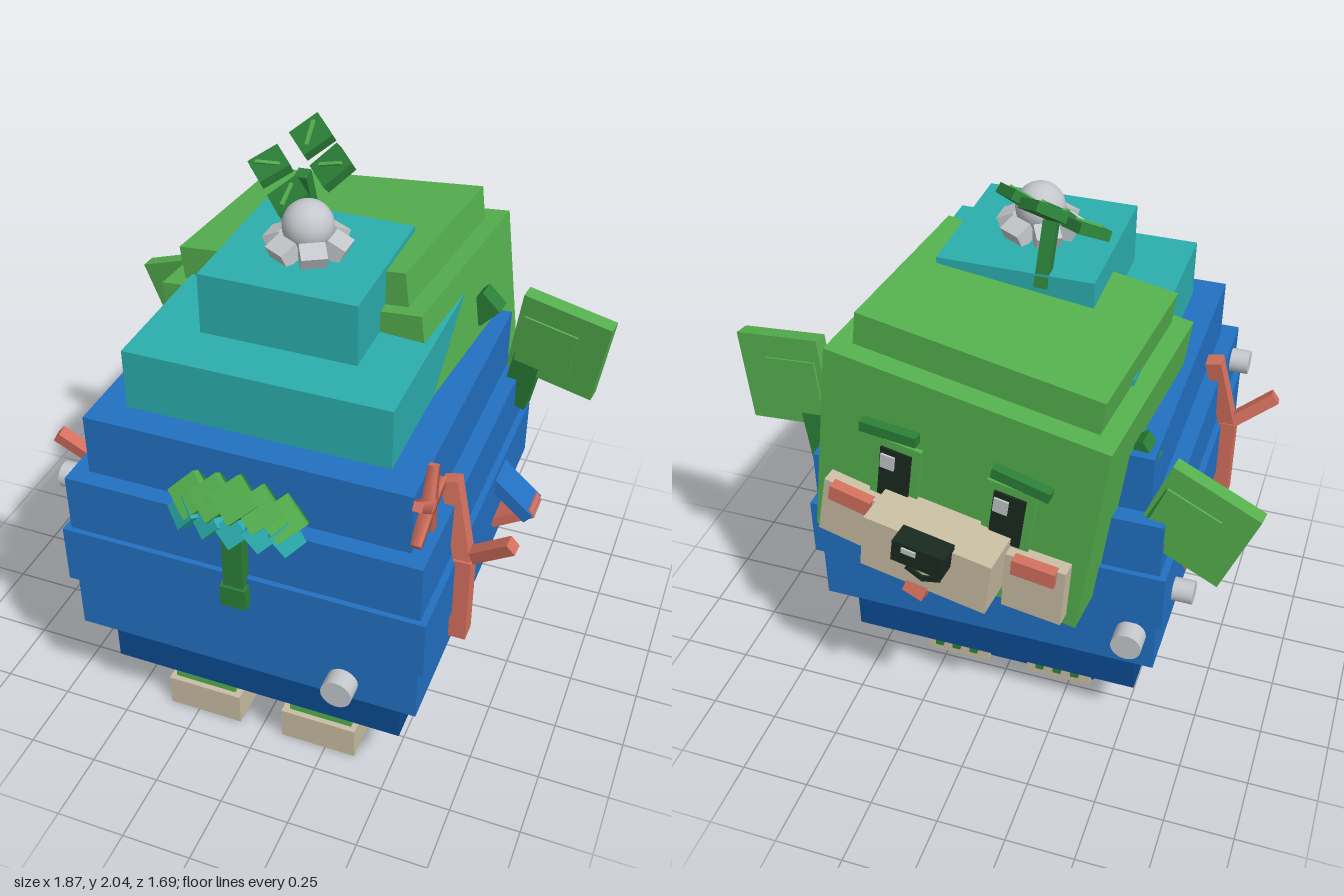
import * as THREE from 'three';

const mat = (name, color) => {
  const m = new THREE.MeshStandardMaterial({ color });
  m.name = name;
  return m;
};

export function createModel() {
  const blue = mat('blue', 0x2270c2), navy = mat('navy', 0x0b4a90), purple = mat('purple', 0x8a45cc);
  const teal = mat('teal', 0x2caeae), green = mat('green', 0x55b04e), leaf = mat('leaf green', 0x2b8038);
  const coral = mat('coral', 0xd4705e), tan = mat('tan', 0xc9bea3), grey = mat('grey', 0xc4c8cc);
  const black = mat('near black', 0x1a2a20);
  const root = new THREE.Group();
  root.name = 'shelledCreature';

  const add = (parent, name, geo, m, pos, rot = [0, 0, 0]) => {
    const mesh = new THREE.Mesh(geo, m);
    mesh.name = name;
    mesh.position.set(...pos);
    mesh.rotation.set(...rot);
    parent.add(mesh);
    return mesh;
  };
  const box = (parent, name, m, size, pos, rot) => add(parent, name, new THREE.BoxGeometry(...size), m, pos, rot);
  // Square bar running between two points
  const bar = (parent, name, m, a, b, w) => {
    const p = new THREE.Vector3(...a), q = new THREE.Vector3(...b), d = q.clone().sub(p);
    const mesh = box(parent, name, m, [w, d.length(), w], p.clone().add(q).multiplyScalar(0.5).toArray());
    mesh.quaternion.setFromUnitVectors(new THREE.Vector3(0, 1, 0), d.normalize());
  };
  const group = (parent, name, pos, rot = [0, 0, 0]) => {
    const g = new THREE.Group();
    g.name = name;
    g.position.set(...pos);
    g.rotation.set(...rot);
    parent.add(g);
    return g;
  };

  // Stacked shell: name, material, half width, half depth, bottom, top
  const layers = [
    ['underbody', navy, 0.34, 0.35, 0, 0.23],
    ['hips', navy, 0.537, 0.537, 0.22, 0.385],
    ['belt', purple, 0.567, 0.567, 0.385, 0.435],
    ['shellLower', blue, 0.615, 0.618, 0.435, 0.65],
    ['shellWide', blue, 0.638, 0.637, 0.65, 0.87],
    ['shellUpper', blue, 0.615, 0.618, 0.87, 1.08],
    ['shellShoulder', blue, 0.557, 0.557, 1.08, 1.3],
    ['shellCap', teal, 0.453, 0.453, 1.3, 1.515],
    ['shellTop', teal, 0.268, 0.272, 1.515, 1.73],
  ];
  for (const [name, m, hw, hd, y0, y1] of layers)
    box(root, name, m, [hw * 2, y1 - y0, hd * 2], [0, (y0 + y1) / 2, name === 'shellTop' ? 0.142 : 0.15]);

  // Legs, feet and toes
  for (const s of [-1, 1]) {
    box(root, 'frontLeg', green, [0.235, 0.12, 0.2], [s * 0.225, 0.165, 0.53]);
    box(root, 'frontFoot', tan, [0.28, 0.125, 0.33], [s * 0.222, 0.0625, 0.485]);
    box(root, 'backFoot', tan, [0.25, 0.127, 0.28], [s * 0.205, 0.0615, -0.09]);
    for (const i of [-1, 0, 1])
      box(root, 'toe', leaf, [0.03, 0.07, 0.03], [s * 0.205 + i * 0.07, 0.08, -0.237]);
    for (const z of [0.383, 0.15, -0.08])
      box(root, 'sidePlate', grey, [0.07, 0.112, 0.175], [s * 0.37, 0.145, z]);
  }
  box(root, 'frontPlate', grey, [0.175, 0.112, 0.07], [0, 0.145, 0.52]);
  for (const x of [-0.233, 0, 0.233]) box(root, 'backPlate', grey, [0.175, 0.112, 0.07], [x, 0.145, -0.22]);

  // Barnacle studs
  const stud = (pos, rot, r = 0.054) =>
    add(root, 'stud', new THREE.CylinderGeometry(r, r, 0.1, 20), grey, pos, rot);
  stud([0.36, 0.505, 0.785], [Math.PI / 2, 0, 0]);
  stud([-0.53, 0.58, -0.49], [Math.PI / 2, 0, 0]);
  stud([-0.635, 1.0, 0.66], [0, 0, Math.PI / 2], 0.045);
  stud([-0.66, 0.68, -0.31], [0, 0, Math.PI / 2], 0.042);

  // Branches and beaked shells on both sides
  for (const s of [-1, 1]) {
    const branch = group(root, 'coralBranch', [0, 0, 0]);
    box(branch, 'branchTrunk', coral, [0.06, 0.34, 0.07], [s * 0.66, 0.71, 0.44]);
    bar(branch, 'branchInner', coral, [s * 0.66, 0.86, 0.44], [s * 0.59, 1.16, 0.405], 0.058);
    bar(branch, 'branchOuter', coral, [s * 0.65, 0.865, 0.43], [s * 0.82, 1.0, 0.47], 0.045);
    const clam = group(root, 'clam', [0, 0, 0]);
    box(clam, 'clamTop', blue, [0.19, 0.045, 0.13], [s * 0.695, 0.763, -0.085], [0, 0, -s * 0.72]);
    box(clam, 'clamBottom', coral, [0.17, 0.035, 0.11], [s * 0.705, 0.678, -0.085], [0, 0, s * 0.55]);
  }

  // Starfish
  const star = group(root, 'starfish', [0.575, 1.2, 0.61]);
  const armGeo = new THREE.CylinderGeometry(0.022, 0.032, 0.13, 4, 1).rotateY(Math.PI / 4).translate(0, 0.07, 0);
  for (let i = 0; i < 5; i++)
    add(star, 'starArm', armGeo, coral, [0, 0, 0], [-Math.PI / 2 + (i * 2 * Math.PI) / 5, 0, 0]);

  // Leafy tree on the front
  const tree = group(root, 'frontTree', [0, 0, 0]);
  box(tree, 'treeStem', leaf, [0.07, 0.26, 0.05], [0, 0.93, 0.79]);
  box(tree, 'treeBase', leaf, [0.09, 0.08, 0.07], [0, 0.805, 0.79]);
  for (let i = -2; i <= 2; i++) {
    const a = Math.abs(i);
    const upper = group(tree, 'upperLeaf', [i * 0.077, 1.17 - a * 0.018, 0.765 - a * 0.006], [-0.55, i * 0.1, 0]);
    box(upper, 'leafTop', green, [0.115, 0.115, 0.03], [0, 0, 0.012], [0, 0, Math.PI / 4]);
    box(upper, 'leafBack', leaf, [0.115, 0.115, 0.02], [0, 0, -0.012], [0, 0, Math.PI / 4]);
    const lower = group(tree, 'lowerLeaf', [i * 0.086, 1.065 + a * 0.006, 0.785 - a * 0.008], [-0.35, i * 0.12, 0]);
    box(lower, 'leafLower', teal, [0.085, 0.085, 0.06], [0, 0, 0], [0, 0.2 * Math.sign(i), Math.PI / 4]);
  }

  // Pearl in a ring of blocks
  add(root, 'pearl', new THREE.SphereGeometry(0.085, 24, 16), grey, [0, 1.82, 0.147]);
  for (let i = 0; i < 6; i++) {
    const petal = group(root, 'pearlSetting', [0, 1.76, 0.147], [0, (i * Math.PI) / 3, 0]);
    box(petal, 'settingBlock', grey, [0.065, 0.06, 0.085], [0.1, 0, 0], [0, 0, -0.45]);
  }

  // Sprout
  bar(root, 'sproutStem', leaf, [-0.09, 1.68, -0.12], [-0.1, 1.89, -0.055], 0.045);
  const sprout = group(root, 'sprout', [-0.1, 1.9, -0.06], [0.56, 0, 0.25]);
  for (let i = 0; i < 4; i++) {
    const holder = group(sprout, 'sproutLeaf', [0, 0, 0], [0, (i * Math.PI) / 2, 0]);
    box(holder, 'sproutBlade', leaf, [0.115, 0.035, 0.115], [0.12, 0.015, 0], [0, Math.PI / 4, 0.12]);
    box(holder, 'sproutVein', green, [0.09, 0.008, 0.012], [0.12, 0.036, 0], [0, 0, 0.12]);
  }

  // Tilted head, its face looking to -z
  const head = group(root, 'head', [0.015, 1.17, -0.215], [0, -0.089, 0.131]);
  box(head, 'skull', green, [0.97, 0.76, 0.79], [0, 0, 0]);
  box(head, 'skullCap', green, [0.84, 0.13, 0.67], [0, 0.435, 0.012]);
  box(head, 'snout', tan, [0.45, 0.21, 0.19], [0, -0.18, -0.475]);
  box(head, 'nose', black, [0.18, 0.085, 0.08], [0, -0.095, -0.595]);
  box(head, 'noseShine', grey, [0.05, 0.02, 0.008], [0.03, -0.075, -0.637]);
  for (const s of [-1, 1]) {
    box(head, 'mouth', black, [0.07, 0.02, 0.012], [s * 0.028, -0.222, -0.572], [0, 0, s * 0.4]);
    box(head, 'cheek', tan, [0.21, 0.23, 0.08], [s * 0.335, -0.225, -0.41], [0, 0, s * 0.06]);
    box(head, 'blush', coral, [0.15, 0.06, 0.04], [s * 0.33, -0.14, -0.45], [0, 0, s * 0.06]);
    box(head, 'eyeFrame', green, [0.17, 0.25, 0.03], [s * 0.2, 0, -0.395]);
    box(head, 'eye', black, [0.11, 0.2, 0.009], [s * 0.2, -0.005, -0.413]);
    box(head, 'eyeShine', grey, [0.05, 0.055, 0.009], [s * 0.2 + 0.025, 0.045, -0.42]);
    box(head, 'brow', leaf, [0.2, 0.038, 0.05], [s * 0.23, 0.165, -0.405], [0, 0, -s * 0.08]);
    box(head, 'earStalk', leaf, [0.1, 0.09, 0.07], [s * 0.5, 0.17, -0.08], [0, 0, s * 0.7]);
  }
  box(head, 'tongue', coral, [0.075, 0.07, 0.05], [0.02, -0.295, -0.55], [0.3, 0, 0.2]);

  // Ears: plate, raised inner panel and lobe
  const ears = [
    [[0.76, 1.27, -0.31], [0.09, -0.13, -0.15], -1],
    [[-0.715, 1.09, -0.42], [0.06, -0.12, 0.37], 1],
  ];
  for (const [pos, rot, s] of ears) {
    const ear = group(root, 'ear', pos, rot);
    box(ear, 'earPlate', green, [0.325, 0.325, 0.055], [0, 0, 0]);
    box(ear, 'earPanel', green, [0.2, 0.2, 0.07], [s * 0.04, -0.02, 0]);
    box(ear, 'earLobe', leaf, [0.1, 0.24, 0.06], [s * 0.1, -0.21 + (s > 0 ? 0.16 : 0), 0.0], [0, 0, s * 0.05]);
  }
  return root;
}
